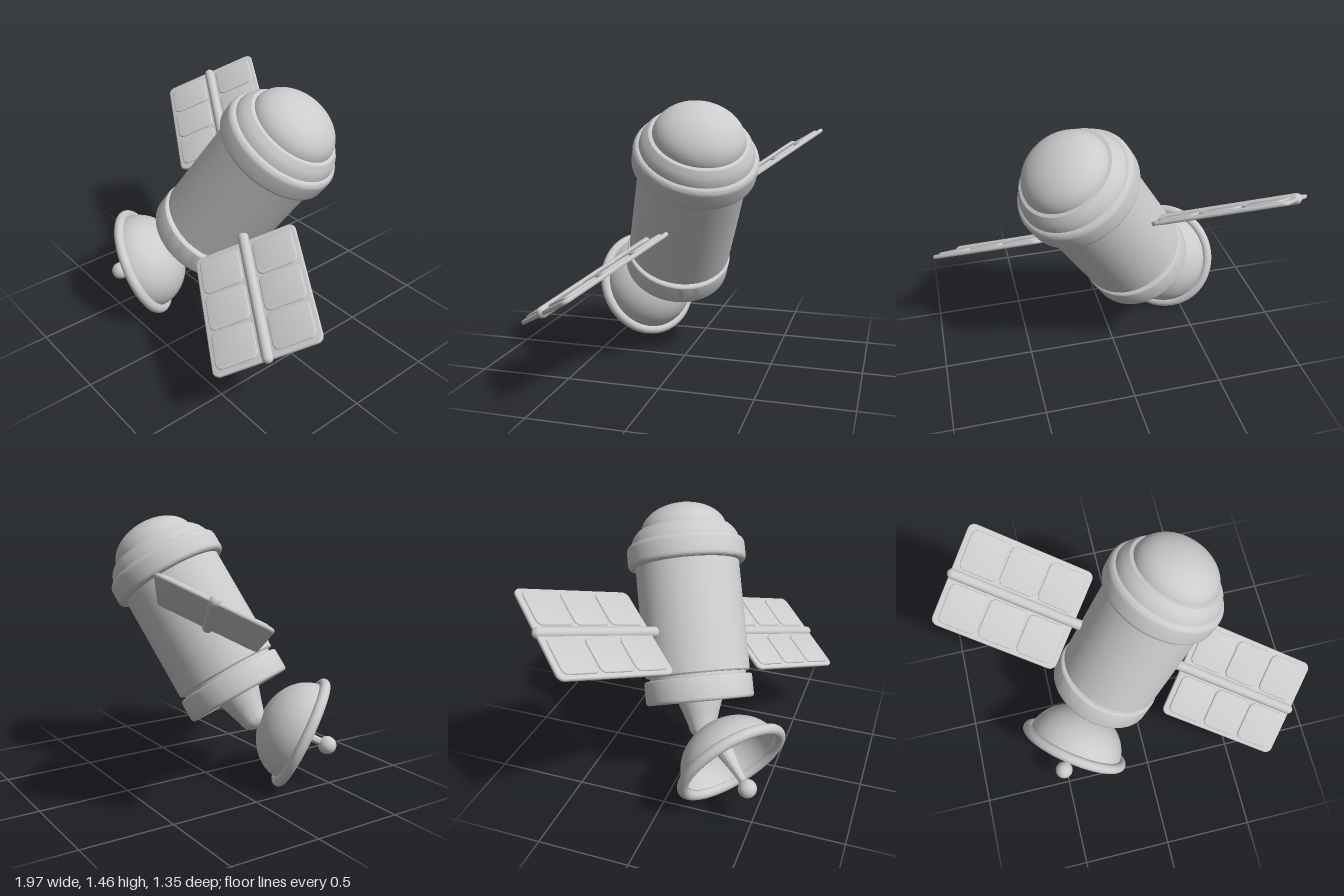
import * as THREE from 'three';
import { toCreasedNormals } from 'three/addons/utils/BufferGeometryUtils.js';

const grey = new THREE.MeshStandardMaterial({ color: 0xcccccc });
const greyDouble = new THREE.MeshStandardMaterial({ color: 0xcccccc, side: THREE.DoubleSide });

function add(parent, name, geometry, material = grey) {
  const mesh = new THREE.Mesh(geometry, material);
  mesh.name = name;
  parent.add(mesh);
  return mesh;
}

// Turned part from [radius, height] pairs, listed bottom to top
function turned(points, segments = 64) {
  const profile = points.map(([r, y]) => new THREE.Vector2(r, y));
  return toCreasedNormals(new THREE.LatheGeometry(profile, segments), 0.6);
}

// Points of an elliptical arc in the profile plane
function arc(cy, rx, ry, from, to, n, cx = 0) {
  return Array.from({ length: n + 1 }, (_, i) => {
    const a = from + (to - from) * i / n;
    return [Math.max(0, cx + rx * Math.cos(a)), cy + ry * Math.sin(a)];
  });
}

// Flat rounded rectangle lying in XZ, with softened edges, from y = 0 upwards
function roundedPlate(w, d, h, r, bevel) {
  const x = w / 2 - bevel, y = d / 2 - bevel;
  const s = new THREE.Shape();
  s.moveTo(-x + r, -y);
  s.lineTo(x - r, -y);
  s.absarc(x - r, -y + r, r, -Math.PI / 2, 0);
  s.absarc(x - r, y - r, r, 0, Math.PI / 2);
  s.absarc(-x + r, y - r, r, Math.PI / 2, Math.PI);
  s.absarc(-x + r, -y + r, r, Math.PI, Math.PI * 1.5);
  const g = new THREE.ExtrudeGeometry(s, {
    depth: h - 2 * bevel, bevelSize: bevel, bevelThickness: bevel, bevelSegments: 3, curveSegments: 8,
  });
  g.translate(0, 0, bevel);
  g.rotateX(-Math.PI / 2);
  return toCreasedNormals(g, 0.6);
}

function makeBody() {
  const body = new THREE.Group();
  body.name = 'body';
  add(body, 'hull', turned([[0, -0.27], [0.265, -0.27], [0.265, -0.235], [0.28, -0.235], [0.288, -0.227], [0.288, 0.4]]));

  // Hollow ring around the lower end
  add(body, 'lowerRing', turned([
    [0, -0.285], [0.23, -0.285], [0.235, -0.37],
    ...arc(-0.365, 0.018, 0.018, -Math.PI * 0.9, 0, 8, 0.279),
    ...arc(-0.265, 0.014, 0.014, 0, Math.PI / 2, 5, 0.283),
    [0.25, -0.251],
  ]));

  // Upper collar, tapering shoulder and cap
  add(body, 'upperCollar', turned([
    [0.28, 0.372],
    ...arc(0.395, 0.025, 0.025, -Math.PI / 2, 0, 6, 0.303),
    ...arc(0.465, 0.03, 0.035, 0, Math.PI / 2, 6, 0.298),
    [0.28, 0.5],
  ]));
  add(body, 'shoulder', turned([[0.302, 0.49], [0.296, 0.52], [0.282, 0.548], [0.258, 0.575], [0.225, 0.58]]));
  add(body, 'domeCap', turned(arc(0.565, 0.24, 0.158, 0, Math.PI / 2, 16)));

  // Tapered neck with a rounded tip
  add(body, 'neck', turned([
    ...arc(-0.515, 0.075, 0.07, -Math.PI / 2, 0, 8),
    [0.1, -0.44], [0.125, -0.37], [0.145, -0.28],
  ], 48));
  return body;
}

// Wing: plate, six raised cells and a rod; side is +1 (left) or -1 (right)
function makeWing(side, tilt) {
  const wing = new THREE.Group();
  wing.name = side > 0 ? 'leftSolarWing' : 'rightSolarWing';
  const middle = 0.675;
  const plate = add(wing, 'panel', roundedPlate(0.7, 0.57, 0.022, 0.03, 0.008));
  plate.position.set(side * middle, -0.011, 0);
  const cell = roundedPlate(0.208, 0.222, 0.024, 0.028, 0.006);
  for (let i = -1; i <= 1; i++) {
    for (const row of [-1, 1]) {
      add(wing, 'solarCell', cell).position.set(side * middle + i * 0.217, -0.004, row * 0.15);
    }
  }
  const rod = add(wing, 'rod', new THREE.CapsuleGeometry(0.029, 0.75, 8, 20));
  rod.rotation.z = Math.PI / 2;
  rod.position.set(side * 0.635, 0.004, 0);
  wing.rotation.x = tilt;
  return wing;
}

// Dish opening along its own +y, with the rim centred on its origin
function makeDish(tilt) {
  const dish = new THREE.Group();
  dish.name = 'dish';
  const aim = new THREE.Group();
  aim.name = 'dishParts';
  aim.rotation.x = Math.PI / 2;
  dish.add(aim);
  add(aim, 'bowl', turned([
    ...arc(0, 0.282, 0.235, -Math.PI / 2, -0.05, 20),
    ...arc(0, 0.265, 0.215, -0.05, -Math.PI / 2, 20),
  ]), greyDouble);
  add(aim, 'rim', new THREE.TorusGeometry(0.295, 0.029, 16, 72).rotateX(Math.PI / 2));
  add(aim, 'feedStem', turned([[0.065, -0.225], [0.055, -0.14], [0.045, -0.07], [0.03, 0.02], [0.022, 0.08], [0.02, 0.16]], 32));
  add(aim, 'feedBall', new THREE.SphereGeometry(0.05, 32, 20)).position.y = 0.162;
  dish.rotation.x = tilt;
  dish.position.set(0, -0.72, 0.192);
  return dish;
}

export function createModel() {
  const model = new THREE.Group();
  model.name = 'satellite';
  const craft = new THREE.Group();
  craft.name = 'craft';
  model.add(craft);

  const tilt = 0.968;
  craft.add(makeBody(), makeWing(1, tilt), makeWing(-1, tilt), makeDish(tilt));

  // Lean the whole craft: hull axis up, wings across
  const up = new THREE.Vector3(0.495, 0.825, -0.272).normalize();
  const front = new THREE.Vector3(0.82, -0.33, 0.47).cross(up).normalize();
  const across = new THREE.Vector3().crossVectors(up, front);
  craft.quaternion.setFromRotationMatrix(new THREE.Matrix4().makeBasis(across, up, front));
  craft.position.y = 0.81;

  // Stand on the ground
  model.updateMatrixWorld(true);
  craft.position.y -= new THREE.Box3().setFromObject(model, true).min.y;
  return model;
}
